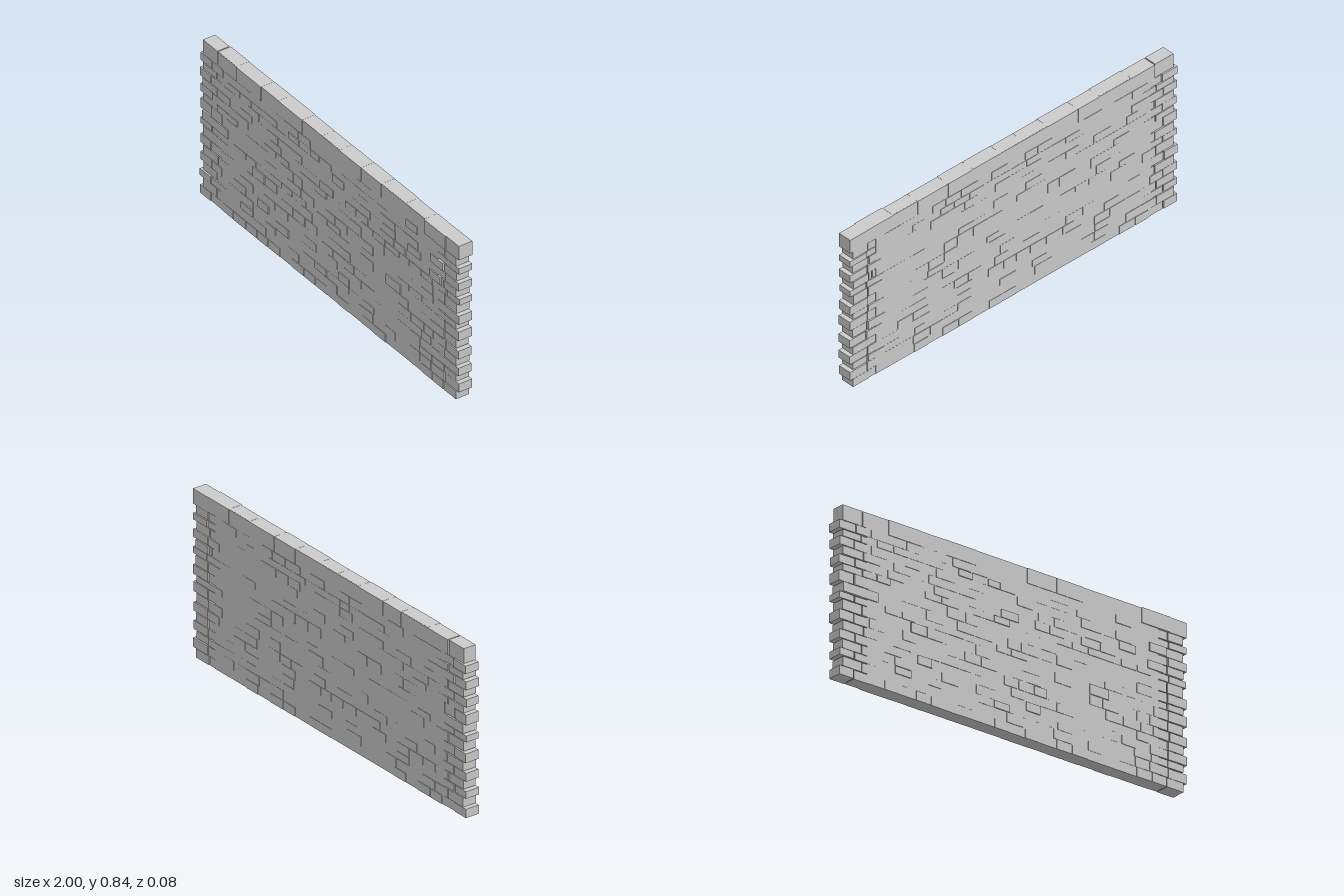
import * as THREE from 'three';
import { mergeGeometries } from 'three/addons/utils/BufferGeometryUtils.js';

// Bottom and top height of every course
const COURSES = [
  [0, 0.044], [0.047, 0.093], [0.097, 0.132], [0.136, 0.179], [0.182, 0.224], [0.227, 0.271],
  [0.276, 0.322], [0.326, 0.375], [0.379, 0.41], [0.414, 0.46], [0.464, 0.515], [0.518, 0.55],
  [0.553, 0.593], [0.597, 0.637], [0.64, 0.682], [0.686, 0.718], [0.722, 0.762], [0.765, 0.84],
];

// Bricks standing out most at the front: [left, right] by course
const PROUD = {
  2: [[-0.68, -0.59], [-0.11, -0.02]], 3: [[0.075, 0.155]], 4: [[-0.55, -0.47]], 5: [[0.12, 0.19]],
  7: [[-0.59, -0.5], [0.44, 0.55]], 9: [[-0.865, -0.78]], 11: [[-0.785, -0.71], [-0.11, -0.02]],
  12: [[-0.07, 0.03], [0.775, 0.86]], 13: [[0.61, 0.705]], 14: [[0.785, 0.88]],
  15: [[-0.315, -0.235], [-0.145, -0.08]], 17: [[0.74, 0.9]],
};

const CORE_X = 0.84, CORE_Z = 0.035, JOINT = 0.005;

function seeded(seed) {
  return () => {
    seed = (seed * 16807) % 2147483647;
    return seed / 2147483647;
  };
}

function block(x0, x1, y0, y1, back, front) {
  return new THREE.BoxGeometry(x1 - x0, y1 - y0, front - back)
    .translate((x0 + x1) / 2, (y0 + y1) / 2, (back + front) / 2);
}

export function createModel() {
  const wall = new THREE.Group();
  wall.name = 'brickWall';
  const material = new THREE.MeshStandardMaterial({ color: 0xcccccc });
  const random = seeded(4711);

  const add = (name, geometry) => {
    const mesh = new THREE.Mesh(geometry, material);
    mesh.name = name;
    wall.add(mesh);
  };

  // Solid core that the bricks peep out of
  add('core', block(-CORE_X, CORE_X, 0, 0.8395, -CORE_Z, CORE_Z));

  // Courses of bricks, toothed at both ends
  COURSES.forEach(([y0, y1], row) => {
    const odd = row % 2 === 1;
    const left = odd ? -0.98 : -1, right = odd ? 1 : 0.98;
    const last = row === COURSES.length - 1;
    const bricks = [];
    const brick = (x0, x1, proud) => {
      const front = proud ? 0.04 : 0.0325 + random() * 0.006;
      const back = -(0.032 + random() * 0.006);
      bricks.push(block(x0, x1, y0, y1, back, front));
    };

    // Split a stretch into bricks of uneven length
    const fill = (from, to) => {
      const count = Math.max(1, Math.round((to - from) / (last ? 0.16 : 0.092)));
      const step = (to - from) / count;
      let x = from;
      for (let i = 1; i <= count; i++) {
        const end = i === count ? to : from + step * (i + (random() - 0.5) * 0.3);
        brick(x, end - (i === count ? 0 : JOINT), false);
        x = end;
      }
    };

    // End bricks, then the stretches between the fixed proud bricks
    const leftJoint = left + (odd ? 0.105 : 0.08) + random() * 0.012;
    const rightJoint = right - (odd ? 0.095 : 0.085) - random() * 0.012;
    brick(left, leftJoint, false);
    brick(rightJoint, right, false);
    let x = leftJoint + JOINT;
    for (const [a, b] of PROUD[row] ?? []) {
      if (a - x > 0.02) fill(x, a - JOINT);
      brick(a, b, true);
      x = b + JOINT;
    }
    if (rightJoint - x > 0.02) fill(x, rightJoint - JOINT);

    add(last ? 'capCourse' : `brickCourse${row + 1}`, mergeGeometries(bricks));
  });

  return wall;
}
